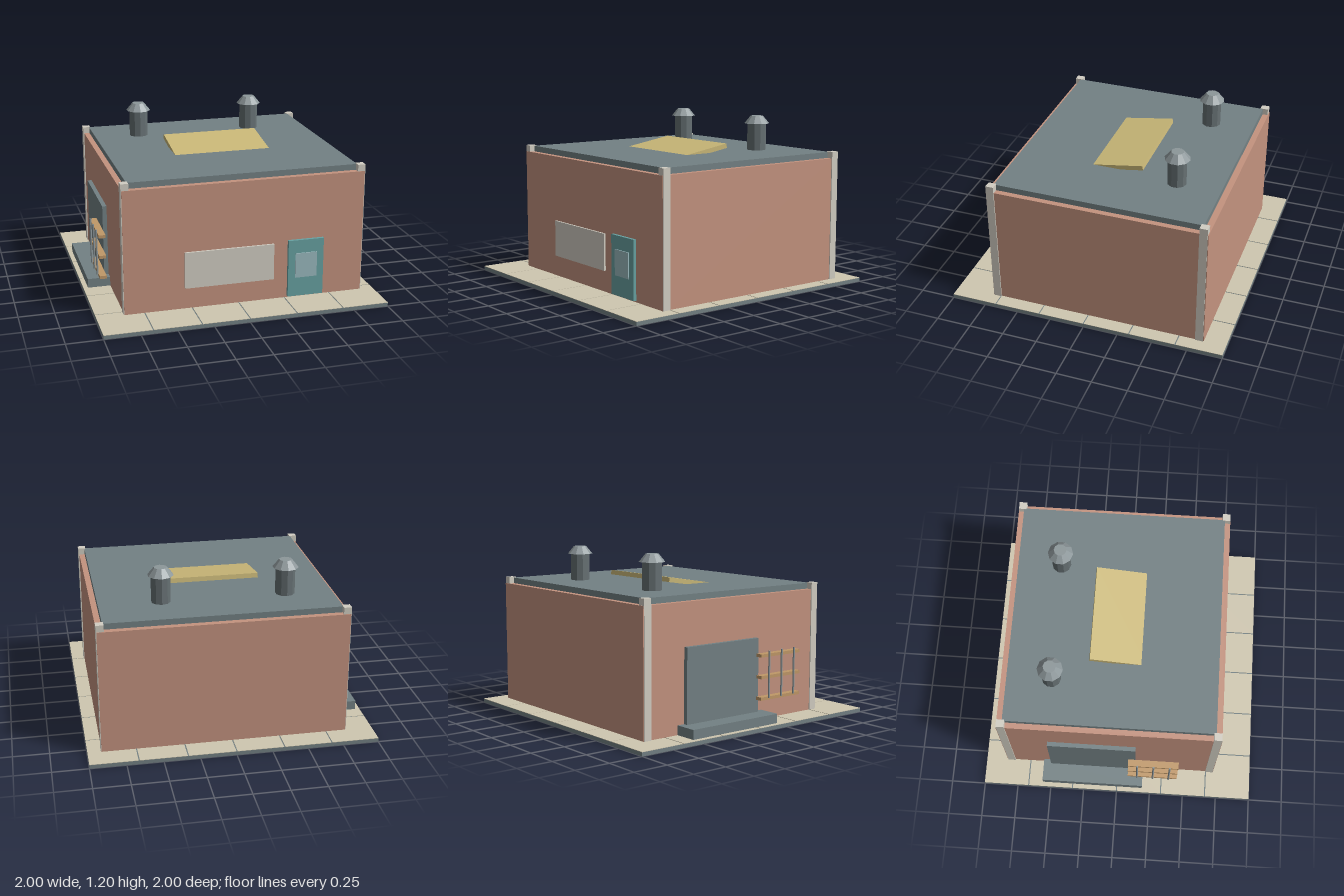
import * as THREE from 'three';

const mat = (color) => new THREE.MeshStandardMaterial({ color, flatShading: true });
const brick = mat(0xc4937f), slate = mat(0x738184), stone = mat(0xd2cec3), paving = mat(0xcfc7b0);
const teal = mat(0x68a2a2), glass = mat(0x9bbabf), straw = mat(0xcab878), wood = mat(0xc09868);
const metal = mat(0x8d979a), ventGrey = mat(0x667073);

export function createModel() {
  const model = new THREE.Group();

  const add = (name, geometry, material, x, y, z, parent = model) => {
    const mesh = new THREE.Mesh(geometry, material);
    mesh.name = name;
    mesh.position.set(x, y, z);
    parent.add(mesh);
    return mesh;
  };
  // Box given by its limits on each axis
  const box = (name, material, [x0, x1], [y0, y1], [z0, z1], parent) =>
    add(name, new THREE.BoxGeometry(x1 - x0, y1 - y0, z1 - z0), material,
      (x0 + x1) / 2, (y0 + y1) / 2, (z0 + z1) / 2, parent);

  // Ground slab with a paved top, split by narrow joints
  box('groundSlab', slate, [-1, 1], [0, 0.026], [-1, 1]);
  const tiles = new THREE.Group();
  tiles.name = 'pavingTiles';
  model.add(tiles);
  const size = 1 / 3, gap = 0.004;
  for (let i = 0; i < 6; i++) {
    for (let j = 0; j < 6; j++) {
      const x = -1 + i * size, z = -1 + j * size;
      box('pavingTile', paving,
        [x + (i > 0 ? gap : 0), x + size - (i < 5 ? gap : 0)], [0.026, 0.029],
        [z + (j > 0 ? gap : 0), z + size - (j < 5 ? gap : 0)], tiles);
    }
  }

  // Walls and the roof standing slightly above them
  box('frontWall', brick, [-0.807, 0.904], [0.029, 0.91], [0.68, 0.723]);
  box('backWall', brick, [-0.807, 0.904], [0.029, 0.91], [-0.843, -0.8]);
  box('rightWall', brick, [-0.805, -0.765], [0.029, 0.91], [-0.8, 0.68]);
  box('leftWall', brick, [0.862, 0.902], [0.029, 0.91], [-0.8, 0.68]);
  box('roof', slate, [-0.765, 0.862], [0.85, 0.952], [-0.8, 0.68]);

  // Corner posts
  for (const x of [-0.812, 0.855]) {
    for (const z of [-0.838, 0.664]) {
      box('cornerPost', stone, [x, x + 0.054], [0.029, 0.957], [z, z + 0.056]);
    }
  }

  // Front window and door
  box('frontWindow', stone, [-0.385, 0.25], [0.18, 0.44], [0.72, 0.737]);
  box('door', teal, [0.352, 0.61], [0.04, 0.455], [0.72, 0.745]);
  box('doorWindow', glass, [0.402, 0.56], [0.18, 0.36], [0.74, 0.752]);

  // Tilted roof hatch, its low end sunk in the roof
  const hatch = add('roofHatch', new THREE.BoxGeometry(0.7, 0.033, 0.4), straw, 0.05, 0.962, -0.031);
  hatch.rotation.x = 0.16;

  // Roof vents
  for (const x of [-0.435, 0.432]) {
    const vent = new THREE.Group();
    vent.name = 'roofVent';
    vent.position.set(x, 0, -0.485);
    model.add(vent);
    add('ventPipe', new THREE.CylinderGeometry(0.068, 0.068, 0.2, 10), ventGrey, 0, 1.046, 0, vent);
    add('ventCap', new THREE.CylinderGeometry(0.045, 0.09, 0.055, 10), metal, 0, 1.172, 0, vent);
  }

  // Loading step and shutter on the side
  box('loadingStep', slate, [-0.967, -0.805], [0.029, 0.095], [-0.56, 0.19]);
  box('shutter', slate, [-0.836, -0.8], [0.095, 0.613], [-0.505, 0.13]);

  // Shelf rack with three rods
  const rack = new THREE.Group();
  rack.name = 'shelfRack';
  model.add(rack);
  for (const y of [0.203, 0.353, 0.503]) {
    box('shelf', wood, [-0.92, -0.872], [y - 0.011, y + 0.011], [0.08, 0.445], rack);
  }
  for (const z of [0.148, 0.265, 0.382]) {
    add('rackRod', new THREE.CylinderGeometry(0.007, 0.007, 0.33, 8), metal, -0.926, 0.37, z, rack);
  }

  return model;
}
